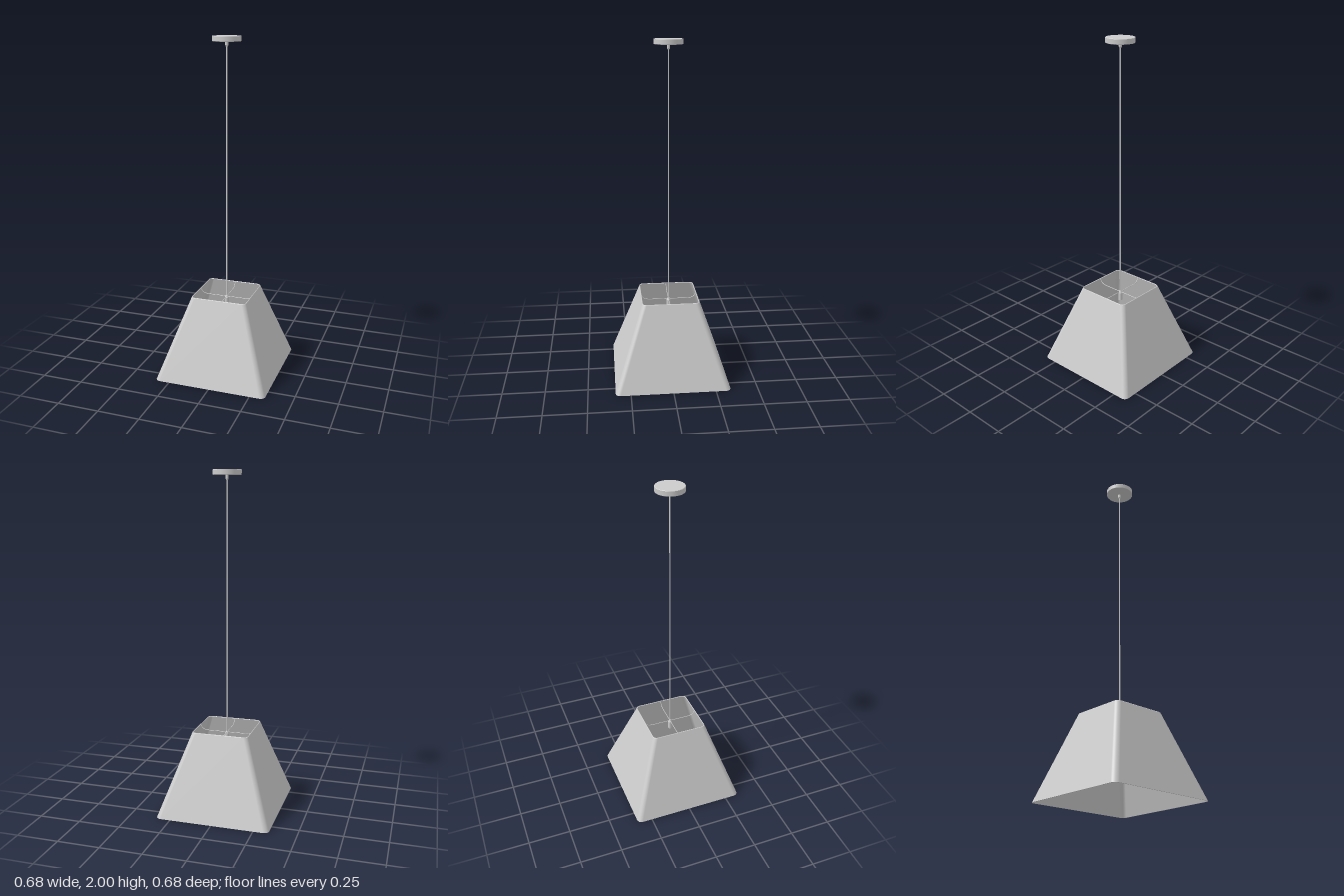
import * as THREE from 'three';
import { mergeVertices } from 'three/addons/utils/BufferGeometryUtils.js';

const material = new THREE.MeshStandardMaterial({ color: 0xcccccc });

function add(group, name, geometry) {
  const mesh = new THREE.Mesh(geometry, material);
  mesh.name = name;
  group.add(mesh);
  return mesh;
}

// Rounded square cross-section, running from +x towards +z
function roundedSquare(half, radius, y, steps = 8) {
  const loop = [];
  for (let c = 0; c < 4; c++) {
    const mid = Math.PI / 4 + c * Math.PI / 2;
    const cx = Math.sign(Math.cos(mid)) * (half - radius);
    const cz = Math.sign(Math.sin(mid)) * (half - radius);
    for (let i = 0; i <= steps; i++) {
      const a = (c + i / steps) * Math.PI / 2;
      loop.push([cx + radius * Math.cos(a), y, cz + radius * Math.sin(a)]);
    }
  }
  return loop;
}

// Skin between successive loops, smooth along and around
function loft(loops) {
  const n = loops[0].length;
  const index = [];
  for (let r = 0; r < loops.length - 1; r++) {
    for (let i = 0; i < n; i++) {
      const j = (i + 1) % n;
      const a = r * n + i, b = r * n + j, c = a + n, d = b + n;
      index.push(a, c, b, b, c, d);
    }
  }
  const geometry = new THREE.BufferGeometry();
  geometry.setAttribute('position', new THREE.Float32BufferAttribute(loops.flat(2), 3));
  geometry.setIndex(index);
  const merged = mergeVertices(geometry);
  merged.computeVertexNormals();
  return merged;
}

// Lathe with each profile edge kept sharp
function turned(points) {
  const group = new THREE.Group();
  for (let i = 0; i < points.length - 1; i++) {
    const pair = [points[i], points[i + 1]].map(([r, y]) => new THREE.Vector2(r, y));
    add(group, 'surface' + (i + 1), new THREE.LatheGeometry(pair, 40));
  }
  return group;
}

export function createModel() {
  const model = new THREE.Group();
  model.name = 'pendantLamp';

  // Thin tapered shade, open at both ends
  const shade = new THREE.Group();
  shade.name = 'shade';
  model.add(shade);
  const outerBottom = roundedSquare(0.339, 0.03, 0);
  const outerTop = roundedSquare(0.17, 0.026, 0.488);
  const lipTop = roundedSquare(0.1675, 0.0245, 0.491);
  const innerTop = roundedSquare(0.165, 0.023, 0.488);
  const innerBottom = roundedSquare(0.334, 0.026, 0);
  add(shade, 'outerWall', loft([outerBottom, outerTop]));
  add(shade, 'topLip', loft([outerTop, lipTop, innerTop]));
  add(shade, 'innerWall', loft([innerTop, innerBottom]));
  add(shade, 'bottomRim', loft([innerBottom, outerBottom]));

  // Four bent wires carrying the shade
  const path = new THREE.CatmullRomCurve3([
    [0.166, 0.484, 0], [0.155, 0.466, 0], [0.135, 0.457, 0], [0.06, 0.455, 0], [0, 0.455, 0],
  ].map((p) => new THREE.Vector3(...p)));
  const wire = new THREE.TubeGeometry(path, 24, 0.002, 8);
  for (let i = 0; i < 4; i++) {
    add(model, 'supportWire' + (i + 1), wire).rotation.y = i * Math.PI / 2;
  }

  // Lamp holder where the wires meet
  const holder = turned([[0, 0.40], [0.012, 0.40], [0.012, 0.448], [0.006, 0.462], [0, 0.462]]);
  holder.name = 'lampHolder';
  model.add(holder);

  // Hanging cord
  const cord = add(model, 'cord', new THREE.CylinderGeometry(0.004, 0.004, 1.51, 12));
  cord.position.y = 0.455 + 1.51 / 2;

  // Cord grip under the ceiling canopy
  const grip = turned([[0, 1.942], [0.006, 1.942], [0.009, 1.95], [0.009, 1.971]]);
  grip.name = 'cordGrip';
  model.add(grip);

  // Ceiling canopy
  const canopy = turned([[0, 1.97], [0.08, 1.97], [0.082, 1.972], [0.082, 1.998], [0.08, 2], [0, 2]]);
  canopy.name = 'canopy';
  model.add(canopy);

  return model;
}
